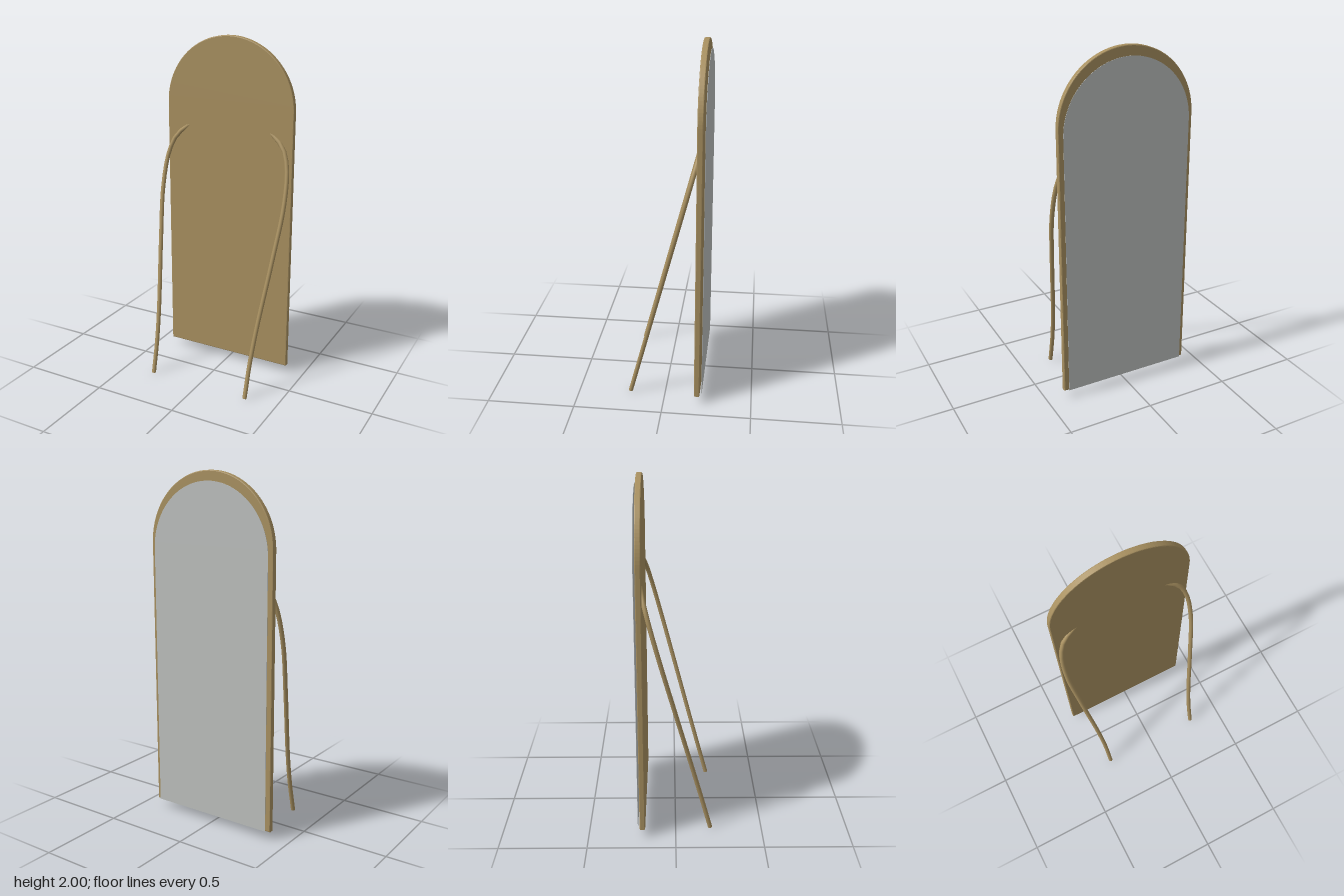
import * as THREE from 'three';

const brass = new THREE.MeshStandardMaterial({ color: 0xa89060 });
brass.name = 'brass';
const glass = new THREE.MeshStandardMaterial({ color: 0xbcbfbd });
glass.name = 'mirror glass';

// Upright panel with a semicircular top
function archShape(halfWidth, bottom, top) {
  const shape = new THREE.Shape();
  shape.moveTo(-halfWidth, bottom);
  shape.lineTo(halfWidth, bottom);
  shape.lineTo(halfWidth, top - halfWidth);
  shape.absarc(0, top - halfWidth, halfWidth, 0, Math.PI, false);
  shape.lineTo(-halfWidth, bottom);
  return shape;
}

function addMesh(group, name, geometry, material) {
  const mesh = new THREE.Mesh(geometry, material);
  mesh.name = name;
  group.add(mesh);
  return mesh;
}

export function createModel() {
  const group = new THREE.Group();
  group.name = 'standingMirror';

  // Backing frame with a small edge bevel, z -0.207 to -0.175
  const bevel = 0.005;
  const frame = new THREE.ExtrudeGeometry(archShape(0.4 - bevel, 0.05 + bevel, 2 - bevel), {
    depth: 0.032 - 2 * bevel, curveSegments: 32,
    bevelEnabled: true, bevelSize: bevel, bevelThickness: bevel, bevelSegments: 2,
  });
  addMesh(group, 'backingFrame', frame, brass).position.z = -0.207 + bevel;

  // Thin glass plate facing the back
  const plate = new THREE.ExtrudeGeometry(archShape(0.375, 0.053, 1.945), {
    depth: 0.002, curveSegments: 32, bevelEnabled: false,
  });
  addMesh(group, 'mirrorGlass', plate, glass).position.z = -0.218;

  // Bent-rod stand: one continuous arch lying in a tilted plane
  const radius = 0.0125;
  const half = [
    [0.308, 0.004], [0.312, 0.2], [0.326, 0.4], [0.368, 0.8],
    [0.394, 1.1], [0.382, 1.3], [0.345, 1.4], [0.285, 1.458],
    [0.2, 1.508], [0.1, 1.538],
  ];
  const onPlane = ([x, y]) => new THREE.Vector3(x, y, 0.203 - 0.2645 * y);
  const points = [
    ...half.map(onPlane),
    onPlane([0, 1.54]),
    ...half.map(([x, y]) => onPlane([-x, y])).reverse(),
  ];
  const path = new THREE.CatmullRomCurve3(points);
  addMesh(group, 'standRod', new THREE.TubeGeometry(path, 64, radius, 12), brass);

  // Caps closing both feet
  for (const [end, sign] of [[0, -1], [1, 1]]) {
    const foot = addMesh(group, sign < 0 ? 'leftFootCap' : 'rightFootCap',
      new THREE.CircleGeometry(radius, 12), brass);
    const at = path.getPointAt(end);
    foot.position.copy(at);
    foot.lookAt(at.clone().addScaledVector(path.getTangentAt(end), sign));
  }

  return group;
}
